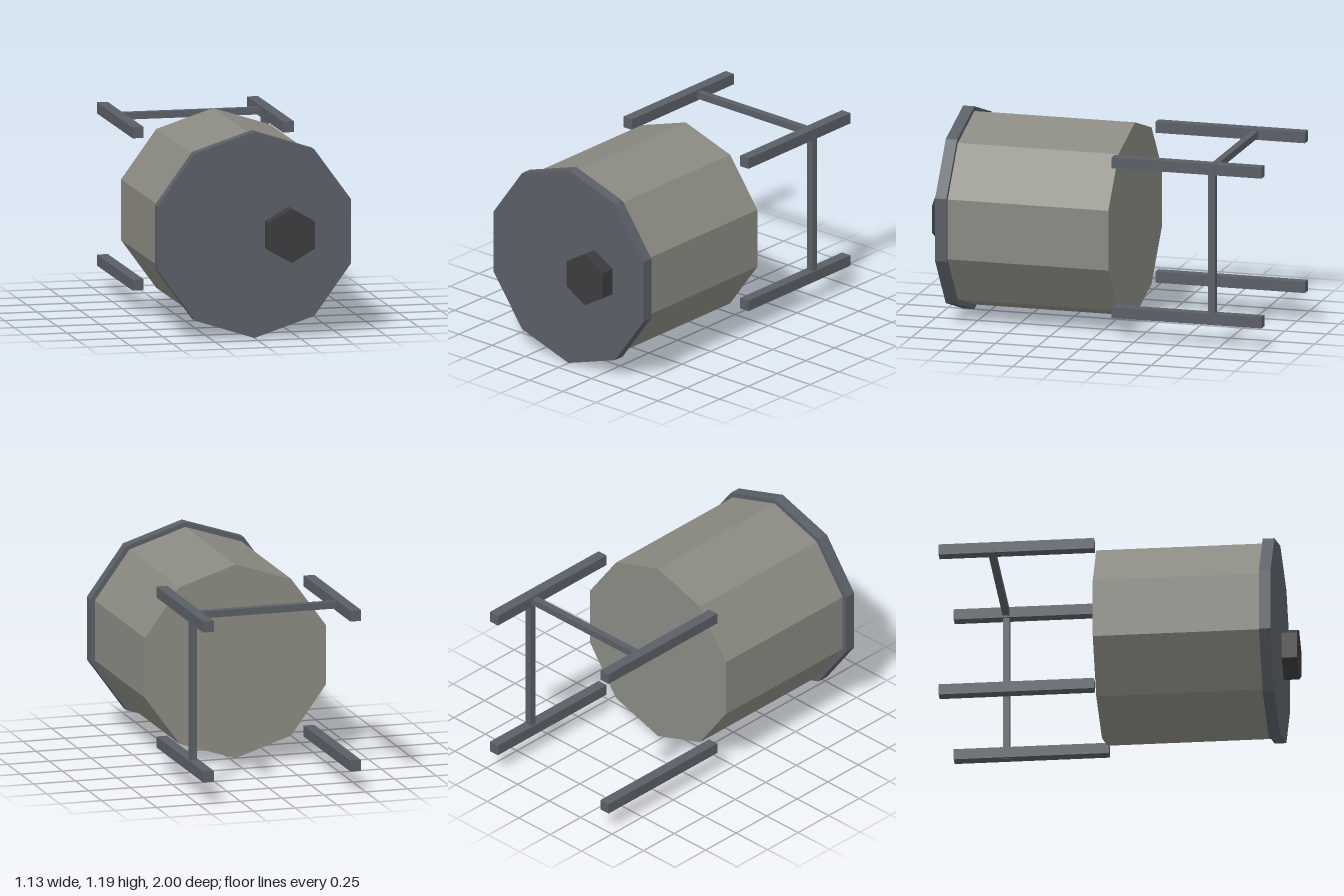
import * as THREE from 'three';

export function createModel() {
  const model = new THREE.Group();
  const material = (color) => new THREE.MeshStandardMaterial({ color, flatShading: true });
  const shell = material(0x8a8a82);
  const steel = material(0x5a5f66);
  const dark = material(0x3c3c3e);

  const add = (name, geometry, mat, x, y, z) => {
    const mesh = new THREE.Mesh(geometry, mat);
    mesh.name = name;
    mesh.position.set(x, y, z);
    model.add(mesh);
  };

  // Faceted prism lying along z, from z0 to z1
  const prism = (name, radius, sides, z0, z1, mat, x = 0) => {
    const geometry = new THREE.CylinderGeometry(radius, radius, z1 - z0, sides).rotateX(Math.PI / 2);
    add(name, geometry, mat, x, 0.598, (z0 + z1) / 2);
  };

  // Drum with its front flange and off-centre knob
  prism('drum', 0.568, 10, -0.11, 0.847, shell);
  prism('frontFlange', 0.596, 10, 0.845, 0.912, steel);
  prism('knob', 0.156, 6, 0.91, 1, dark, 0.198);

  // Four rails behind the drum
  const railX = 0.44, lowY = 0.16, highY = 1.04;
  for (const x of [-railX, railX]) {
    for (const y of [lowY, highY]) {
      add('rail', new THREE.BoxGeometry(0.064, 0.064, 0.89), steel, x, y, -0.555);
    }
  }

  // Braces joining the rails across the top and down the left side
  add('topBrace', new THREE.BoxGeometry(0.95, 0.04, 0.04), steel, 0, highY, -0.7);
  add('sideBrace', new THREE.BoxGeometry(0.04, 0.95, 0.04), steel, railX, 0.6, -0.7);

  return model;
}
